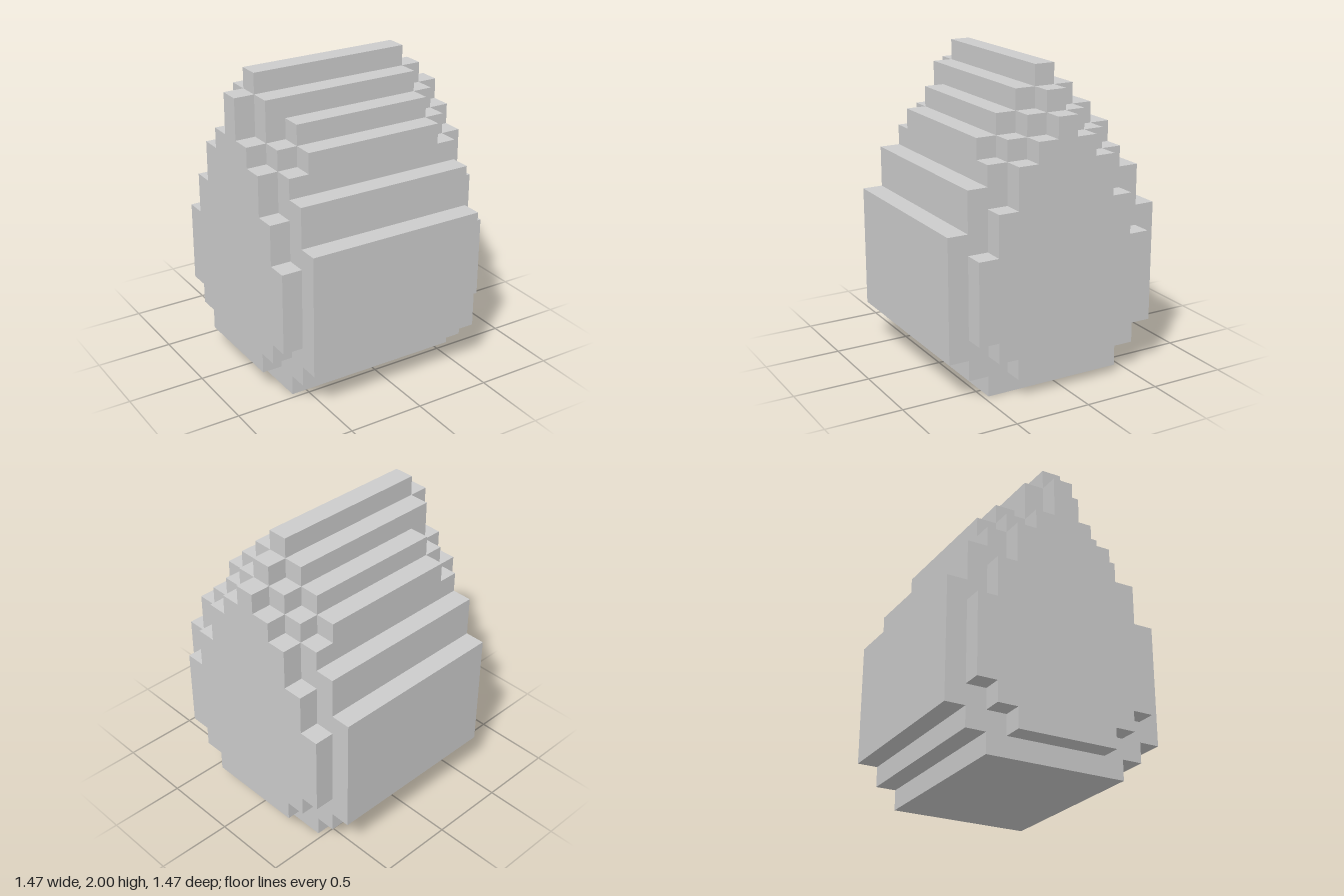
import * as THREE from 'three';

const U = 2 / 15; // one block

export function createModel() {
  const group = new THREE.Group();
  group.name = 'blockyEgg';
  const material = new THREE.MeshStandardMaterial({ color: 0xcccccc, flatShading: true });

  // Stepped outline, mirrored front to back; rows are [top height, half depth] in blocks
  function slice(name, x0, x1, base, rows) {
    const side = [];
    let y = base;
    for (const [top, half] of rows) {
      side.push([half, y], [half, top]);
      y = top;
    }
    const outline = [...side, ...side.map(([h, v]) => [-h, v]).reverse()];
    const shape = new THREE.Shape(outline.map(([h, v]) => new THREE.Vector2(h * U, v * U)));
    const geometry = new THREE.ExtrudeGeometry(shape, { depth: (x1 - x0) * U, bevelEnabled: false });
    geometry.rotateY(Math.PI / 2);
    geometry.translate(x0 * U, 0, 0);
    const mesh = new THREE.Mesh(geometry, material);
    mesh.name = name;
    group.add(mesh);
  }

  // Rows shared by the body and its shoulders, and by both side plates
  const body = [[1, 3.5], [2, 4.5], [8, 5.5], [10, 4.5]];
  const plate = [[2, 2.5], [3, 3.5], [7, 4.5], [9, 3.5], [11, 2.5], [12, 1.5]];

  slice('body', -3.5, 3.5, 0, [...body, [12, 3.5], [13, 2.5], [14, 1.5], [15, 0.5]]);

  // The right side rises one block higher at the crest than the left
  slice('leftShoulder', 3.5, 4.5, 0, [...body, [11, 3.5], [12, 2.5], [13, 1.5], [14, 0.5]]);
  slice('rightShoulder', -4.5, -3.5, 0, [...body, [11, 3.5], [12, 2.5], [14, 1.5], [15, 0.5]]);
  slice('leftPlate', 4.5, 5.5, 1, [...plate, [13, 0.5]]);
  slice('rightPlate', -5.5, -4.5, 1, [...plate, [14, 0.5]]);

  return group;
}
